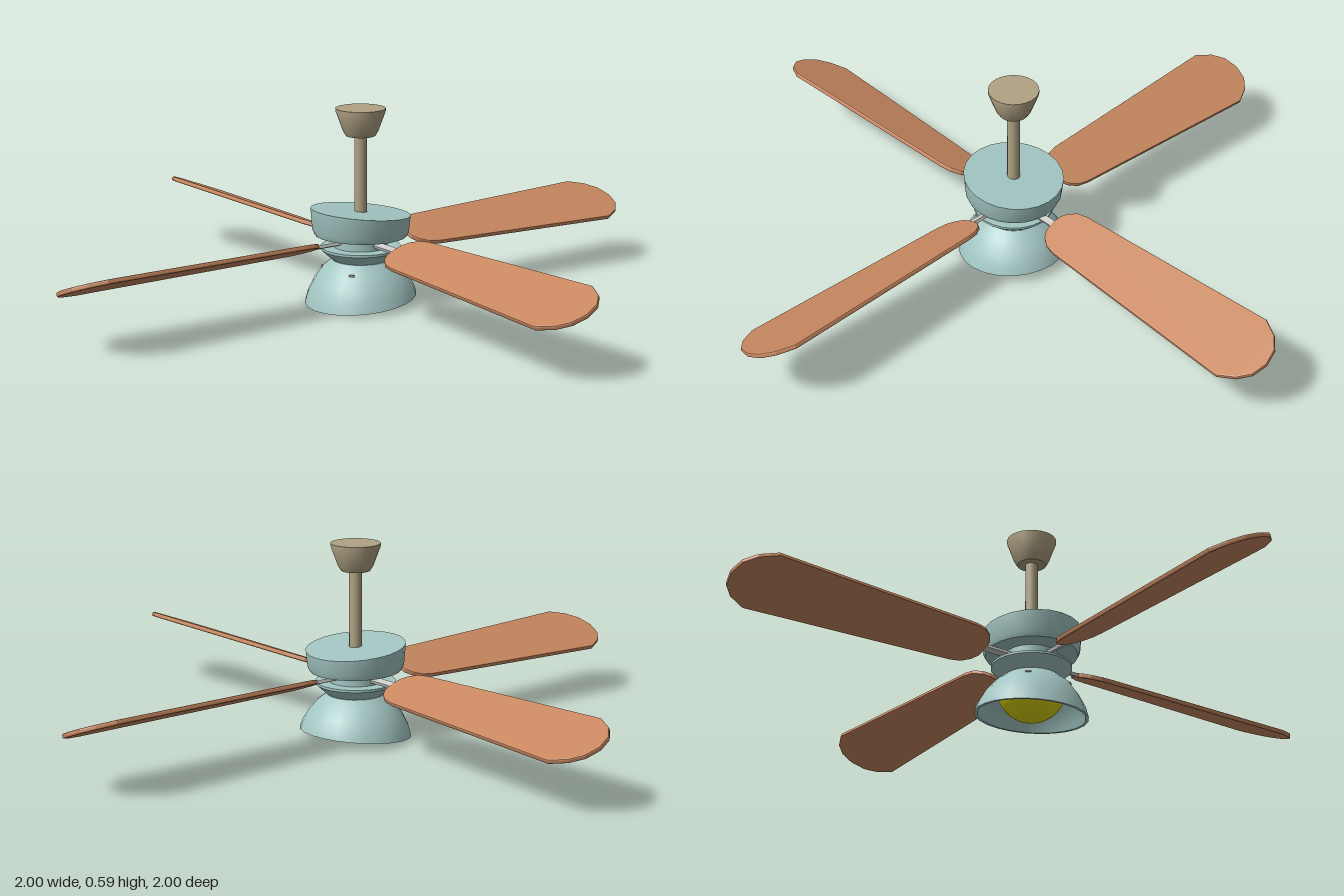
import * as THREE from 'three';
import { toCreasedNormals } from 'three/addons/utils/BufferGeometryUtils.js';

const SEGMENTS = 24;

const paint = (name, color, side = THREE.FrontSide) => {
  const m = new THREE.MeshStandardMaterial({ color, side });
  m.name = name;
  return m;
};

// Revolve a profile, optionally shear its rim, and keep hard edges sharp
function turned(points, shear) {
  const g = new THREE.LatheGeometry(points.map(([r, y]) => new THREE.Vector2(r, y)), SEGMENTS);
  if (shear) {
    const p = g.attributes.position;
    for (let i = 0; i < p.count; i++) p.setY(i, p.getY(i) + shear(p.getY(i)) * p.getZ(i));
  }
  return toCreasedNormals(g, 0.6);
}

// Blade outline: narrow rounded root, widening to a rounded tip
function bladeGeometry() {
  const half = [
    [0.172, 0.03], [0.185, 0.05], [0.21, 0.068], [0.245, 0.075],
    [0.905, 0.106], [0.955, 0.08], [0.985, 0.046],
  ];
  const outline = [...half, [0.996, 0], ...half.map(([x, y]) => [x, -y]).reverse(), [0.168, 0]];
  const shape = new THREE.Shape(outline.map(([x, y]) => new THREE.Vector2(x, y)));
  const g = new THREE.ExtrudeGeometry(shape, {
    depth: 0.006, bevelEnabled: true, bevelThickness: 0.004, bevelSize: 0.004,
    bevelOffset: -0.002, bevelSegments: 2,
  });
  g.translate(0, 0, -0.003);
  g.rotateX(-Math.PI / 2);
  return g;
}

export function createModel() {
  const fan = new THREE.Group();
  fan.name = 'ceilingFan';
  const teal = paint('pale teal', 0xa3c6c3);
  const brass = paint('dull brass', 0xb0a284);
  const wood = paint('warm wood', 0xc88860);
  const silver = paint('light metal', 0xc8c8c4);
  const yellow = paint('lamp yellow', 0xe0d80a);
  const add = (name, geometry, material, parent = fan) => {
    const mesh = new THREE.Mesh(geometry, material);
    mesh.name = name;
    parent.add(mesh);
    return mesh;
  };

  // Ceiling mount and down rod
  add('canopy', turned([[0, 0.508], [0.043, 0.508], [0.052, 0.522], [0.074, 0.582], [0.074, 0.59], [0, 0.59]]), brass);
  const rod = add('downRod', new THREE.CylinderGeometry(0.019, 0.019, 0.34, 16), brass);
  rod.position.y = 0.35;

  // Motor housing with a slightly slanted top
  add('motorHousing', turned(
    [[0, 0.21], [0.137, 0.21], [0.144, 0.225], [0.149, 0.28], [0, 0.28]],
    (y) => (y > 0.25 ? 0.1 : 0.02)), teal);
  add('hub', turned([[0, 0.17], [0.08, 0.17], [0.08, 0.215], [0, 0.215]]), teal);
  add('lowerCollar', turned([[0, 0.13], [0.075, 0.13], [0.098, 0.148], [0.12, 0.168], [0.12, 0.175], [0, 0.175]]), teal);

  // Hollow lamp shade with a slanted rim
  add('lampShade', turned([
    [0, 0.127], [0.08, 0.127], [0.108, 0.106], [0.133, 0.074], [0.151, 0.04], [0.158, 0.018],
    [0.167, 0.018], [0.159, 0.045], [0.141, 0.078], [0.115, 0.112], [0.085, 0.136], [0, 0.136],
  ], (y) => -0.1 * Math.max(0, 1 - (y - 0.018) / 0.11)), teal);
  const bulb = add('bulb', new THREE.SphereGeometry(0.103, 24, 16, 0, Math.PI * 2, Math.PI / 2, Math.PI / 2), yellow);
  bulb.position.y = 0.107;
  for (const side of [-1, 1]) {
    const stud = add('shadeStud', new THREE.BoxGeometry(0.016, 0.005, 0.006), brass);
    stud.position.set(side * 0.075, 0.111, 0.087);
    stud.rotation.y = side * 0.72;
  }

  // Four pitched blades on thin arms
  const blade = bladeGeometry();
  const arm = new THREE.BoxGeometry(0.17, 0.01, 0.02).translate(0.155, 0, 0);
  for (let i = 0; i < 4; i++) {
    const unit = new THREE.Group();
    unit.name = 'bladeUnit';
    unit.position.y = 0.192;
    unit.rotation.y = -i * Math.PI / 2;
    add('blade', blade, wood, unit).rotation.x = 0.37;
    add('bladeArm', arm, silver, unit).rotation.x = 0.37;
    fan.add(unit);
  }
  return fan;
}
